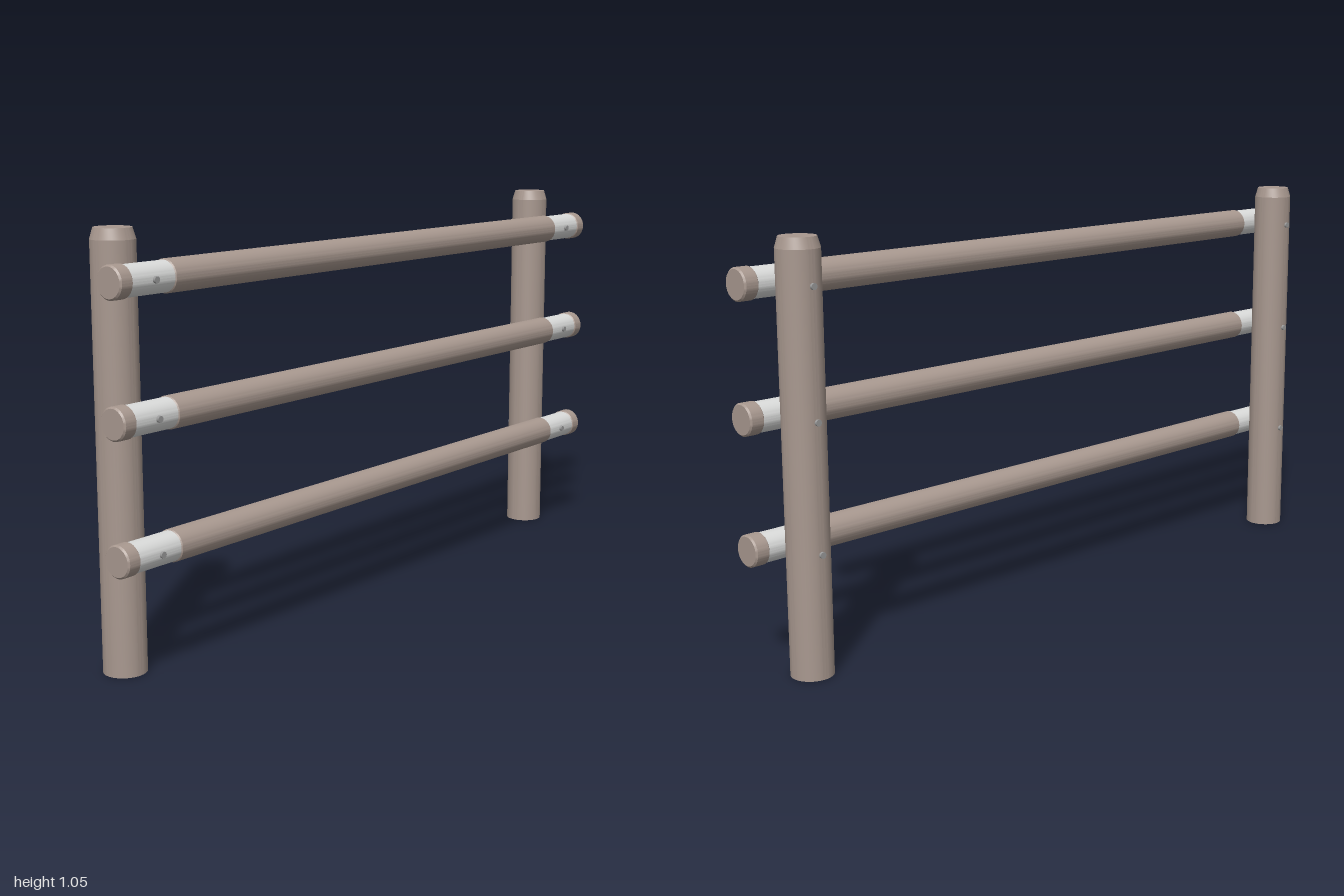
import * as THREE from 'three';
import { toCreasedNormals } from 'three/addons/utils/BufferGeometryUtils.js';

const POST_X = 0.892, POST_Z = -0.04, RAIL_Z = 0.055, RAIL_R = 0.04;
const RAIL_HEIGHTS = [0.31, 0.628, 0.944];

// Solid of revolution with crisp chamfer edges
function turned(points) {
  const profile = points.map(([r, y]) => new THREE.Vector2(r, y));
  return toCreasedNormals(new THREE.LatheGeometry(profile, 40), 0.25);
}

// Chamfered round bar lying along x
function bar(length, radius, chamfer) {
  const h = length / 2;
  return turned([
    [0, -h], [radius - chamfer, -h], [radius, -h + chamfer],
    [radius, h - chamfer], [radius - chamfer, h], [0, h],
  ]).rotateZ(-Math.PI / 2);
}

export function createModel() {
  const model = new THREE.Group();
  model.name = 'railFence';

  const wood = new THREE.MeshStandardMaterial({ color: 0xa8988f });
  wood.name = 'weathered wood';
  const sleeveMat = new THREE.MeshStandardMaterial({ color: 0xd9dad9 });
  sleeveMat.name = 'pale sleeve';
  const steel = new THREE.MeshStandardMaterial({ color: 0x9a9a9a });
  steel.name = 'bolt steel';

  const add = (name, geometry, material, x, y, z, parent = model) => {
    const mesh = new THREE.Mesh(geometry, material);
    mesh.name = name;
    mesh.position.set(x, y, z);
    parent.add(mesh);
  };

  // Upright posts with chamfered tops
  const postGeo = turned([[0, 0], [0.053, 0], [0.053, 1.028], [0.045, 1.055], [0, 1.055]]);
  add('leftPost', postGeo, wood, POST_X, 0, POST_Z);
  add('rightPost', postGeo, wood, -POST_X, 0, POST_Z);

  // Rail pieces, shared by all three rails
  const middleGeo = bar(1.66, RAIL_R, 0.004);
  const endGeo = bar(0.04, RAIL_R, 0.004);
  const sleeveGeo = bar(0.136, 0.0375, 0.001);
  const boltGeo = new THREE.CylinderGeometry(0.008, 0.008, 0.198, 16).rotateX(Math.PI / 2);

  RAIL_HEIGHTS.forEach((y, i) => {
    const rail = new THREE.Group();
    rail.name = ['lower', 'middle', 'upper'][i] + 'Rail';
    rail.position.set(0, y, RAIL_Z);
    model.add(rail);
    add('railBar', middleGeo, wood, 0, 0, 0, rail);
    for (const side of [1, -1]) {
      const label = side > 0 ? 'left' : 'right';
      add(label + 'RailEnd', endGeo, wood, side * 0.98, 0, 0, rail);
      add(label + 'Sleeve', sleeveGeo, sleeveMat, side * 0.895, 0, 0, rail);
      // Bolt through the sleeve and the post
      add(label + 'Bolt', boltGeo, steel, side * POST_X, 0, -RAIL_Z, rail);
    }
  });

  return model;
}
